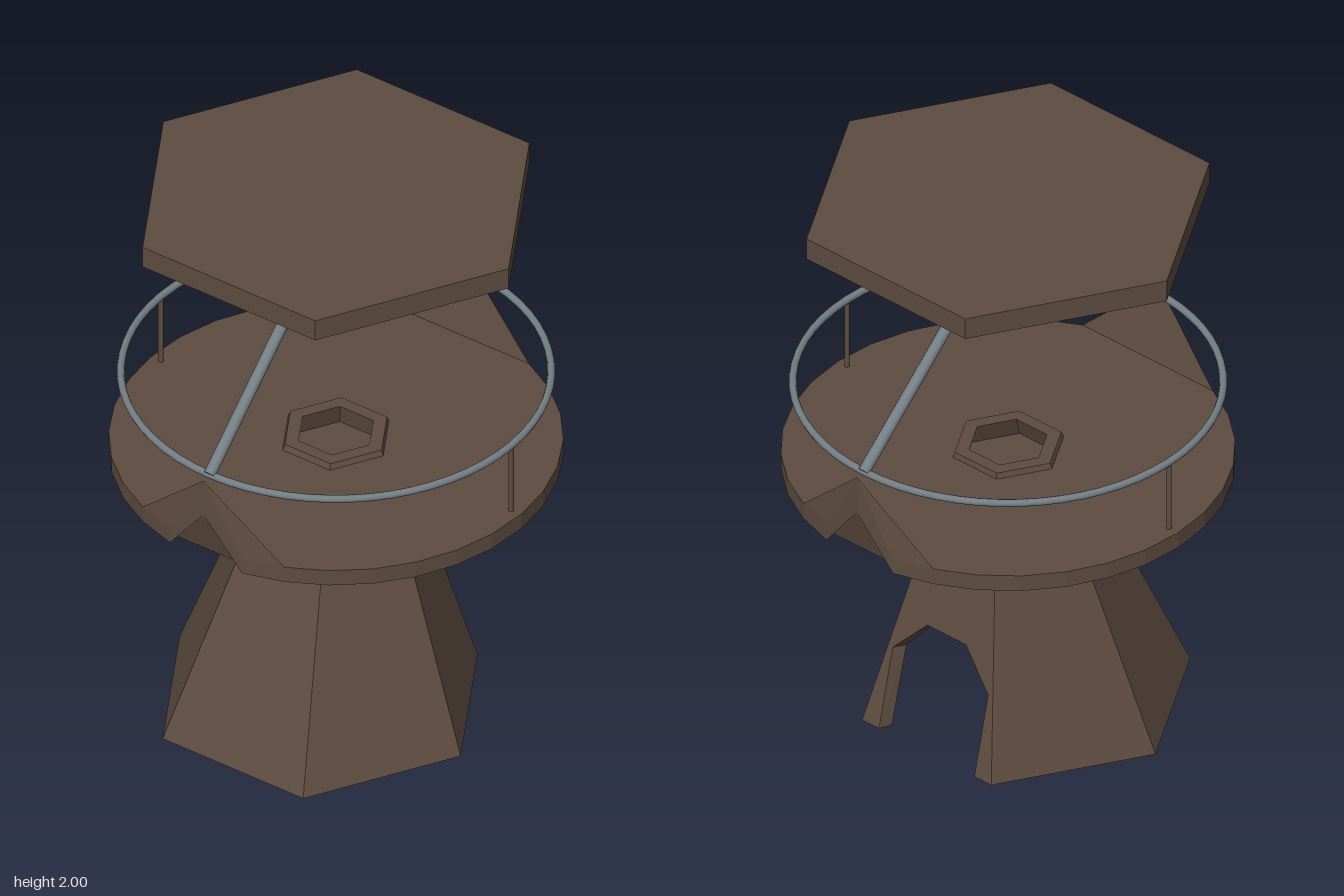
import * as THREE from 'three';

const brown = new THREE.MeshStandardMaterial({ color: 0x5e4c40, side: THREE.DoubleSide, flatShading: true });
brown.name = 'weathered brown';
const metal = new THREE.MeshStandardMaterial({ color: 0x747f85 });
metal.name = 'grey metal';

function add(parent, name, geometry, material) {
  const mesh = new THREE.Mesh(geometry, material);
  mesh.name = name;
  parent.add(mesh);
  return mesh;
}

// Round bar between two points
function bar(parent, name, a, b, radius, material) {
  const dir = b.clone().sub(a);
  const mesh = add(parent, name, new THREE.CylinderGeometry(radius, radius, dir.length(), 12), material);
  mesh.position.copy(a).add(b).multiplyScalar(0.5);
  mesh.quaternion.setFromUnitVectors(new THREE.Vector3(0, 1, 0), dir.normalize());
}

// Leaning, tapering hexagonal tower
const TOP = 1.035, WALL = 0.05;
const towerRadius = y => 0.57 - 0.385 * y / TOP;
const towerCentre = y => -0.09 * (1 - y / TOP);

function towerWall(angle, hasDoor) {
  // Across: -1..1 between corners; up: height
  const pts = [[1, 0], [1, TOP], [-1, TOP], [-1, 0]];
  if (hasDoor) {
    const door = [[-0.21, 0], [-0.21, 0.29], [-0.085, 0.42], [0.085, 0.42], [0.21, 0.29], [0.21, 0]];
    for (const [z, y] of door) pts.push([z / (towerRadius(y) / 2), y]);
  }
  const shape = new THREE.Shape(pts.map(p => new THREE.Vector2(...p)));
  const geo = new THREE.ExtrudeGeometry(shape, { depth: 1, bevelEnabled: false });
  const pos = geo.attributes.position, c = Math.cos(angle), s = Math.sin(angle);
  for (let i = 0; i < pos.count; i++) {
    const y = pos.getY(i);
    const r = towerRadius(y) - WALL * (1 - pos.getZ(i));
    const out = r * Math.sqrt(3) / 2, across = pos.getX(i) * r / 2;
    pos.setXYZ(i, towerCentre(y) + out * c + across * s, y, out * s - across * c);
  }
  geo.computeVertexNormals();
  return geo;
}

// Round deck whose rim rises to a notched peak at each side
function buildDeck(parent) {
  const N = 32, R = 0.75;
  const rim = (i, y, peak) => {
    const a = i / N * Math.PI * 2;
    return [R * Math.cos(a), i % 16 === 0 ? peak : y, R * Math.sin(a)];
  };
  const top = i => rim(i, 1.015, 1.28), bottom = i => rim(i, 0.955, 1.14);

  const tris = [];
  const tri = (a, b, c) => tris.push(...a, ...b, ...c);
  for (let i = 0; i < N; i++) {
    tri(bottom(i), top(i), top(i + 1));
    tri(bottom(i), top(i + 1), bottom(i + 1));
  }
  for (const k of [0, 16]) {
    tri(top(k), top(k - 2), top(k + 2));
    tri(top(k), top(k + 2), top(k + 1));
    tri(top(k), top(k - 1), top(k - 2));
    tri(bottom(k), bottom(k + 2), bottom(k - 2));
    tri(bottom(k), bottom(k + 1), bottom(k + 2));
    tri(bottom(k), bottom(k - 2), bottom(k - 1));
  }
  const geo = new THREE.BufferGeometry();
  geo.setAttribute('position', new THREE.Float32BufferAttribute(tris, 3));
  geo.computeVertexNormals();
  add(parent, 'deckRim', geo, brown);

  // Flat part of the floor, cut straight behind each peak
  const outline = [];
  for (let i = 0; i < N; i++) {
    if (Math.min(i % 16, 16 - i % 16) < 2) continue;
    const [x, , z] = top(i);
    outline.push(new THREE.Vector2(x, z));
  }
  const underside = new THREE.ShapeGeometry(new THREE.Shape(outline));
  add(parent, 'deckUnderside', underside.rotateX(Math.PI / 2).translate(0, 0.955, 0), brown);
  const floor = new THREE.Shape(outline);
  const hatch = [];
  for (let i = 0; i < 6; i++) {
    const a = (i + 0.5) * Math.PI / 3;
    hatch.push(new THREE.Vector2(0.16 * Math.cos(a), 0.16 * Math.sin(a)));
  }
  floor.holes.push(new THREE.Path(hatch));
  add(parent, 'deckFloor', new THREE.ShapeGeometry(floor).rotateX(-Math.PI / 2).translate(0, 1.015, 0), brown);
}

export function createModel() {
  const model = new THREE.Group();
  model.name = 'lookoutTower';

  const tower = new THREE.Group();
  tower.name = 'tower';
  for (let i = 0; i < 6; i++) {
    add(tower, i === 0 ? 'doorWall' : 'towerWall', towerWall(i * Math.PI / 3, i === 0), brown);
  }
  model.add(tower);

  const deck = new THREE.Group();
  deck.name = 'deck';
  buildDeck(deck);
  model.add(deck);

  // Handrail, its posts and the roof struts
  const rail = add(model, 'handrail', new THREE.TorusGeometry(0.71, 0.013, 8, 64), metal);
  rail.rotation.x = Math.PI / 2;
  rail.position.y = 1.28;
  for (const side of [1, -1]) {
    bar(model, 'railPost', new THREE.Vector3(0, 1.0, 0.71 * side), new THREE.Vector3(0, 1.28, 0.71 * side), 0.009, brown);
    bar(model, 'roofStrut', new THREE.Vector3(0.715 * side, 1.285, 0), new THREE.Vector3(0, 1.92, 0), 0.02, metal);
  }

  // Flat hexagonal roof
  const roof = add(model, 'roof', new THREE.CylinderGeometry(0.7, 0.7, 0.08, 6), brown);
  roof.position.y = 1.96;

  return model;
}
